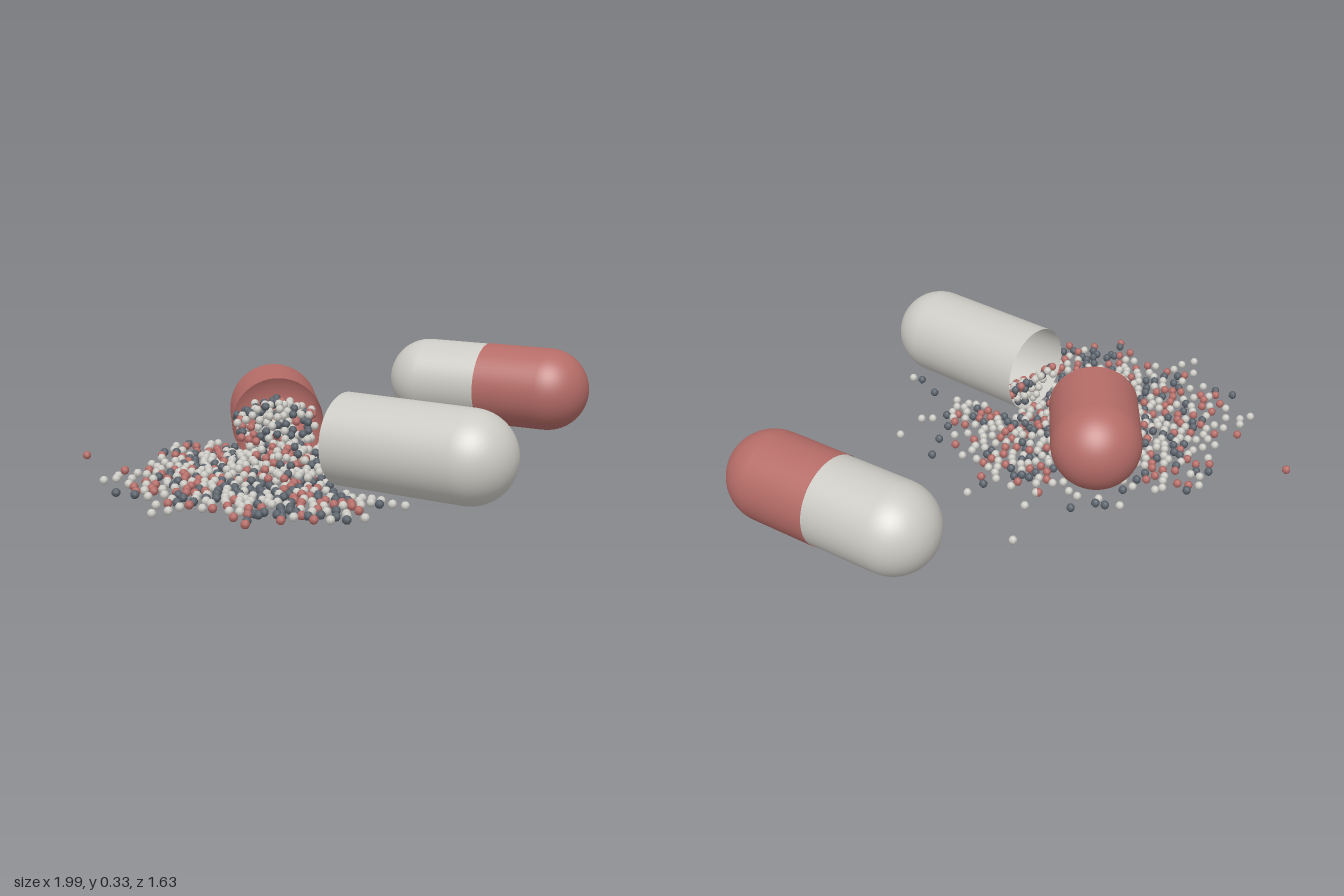
import * as THREE from 'three';
import { mergeGeometries } from 'three/addons/utils/BufferGeometryUtils.js';

const RED = 0xb56c67, GREY = 0xcccac4, DARK = 0x59616a;
const AXIS_Y = 0.168;   // height of every capsule's axis
const BEAD = 0.0155;    // bead radius
const FLOOR = 0.02;     // bead centre height on the ground

// Half shells: dome centre and open rim centre in plan (x, z)
const CAP = { dome: [-0.285, -0.235], rim: [-0.315, 0.025], radius: 0.163 };
const BODY = { dome: [0.207, 0.652], rim: [-0.135, 0.31], radius: 0.161 };
const CLOSED_CAP = { dome: [0.835, -0.325], rim: [0.637, -0.493], radius: 0.163 };
const CLOSED_BODY = { dome: [0.442, -0.658], rim: [0.8, -0.354], radius: 0.161 };

function random(seed) {
  return () => {
    seed = (seed * 1664525 + 1013904223) % 4294967296;
    return seed / 4294967296;
  };
}

function axisOf({ dome, rim }) {
  const axis = new THREE.Vector3(rim[0] - dome[0], 0, rim[1] - dome[1]);
  const length = axis.length();
  return { axis: axis.normalize(), length };
}

// Open tube with one domed end
function halfShell(name, shell, color) {
  const { axis, length } = axisOf(shell);
  const profile = [];
  for (let i = 0; i <= 14; i++) {
    const a = (i / 14) * Math.PI / 2;
    profile.push(new THREE.Vector2(Math.sin(a) * shell.radius, -Math.cos(a) * shell.radius));
  }
  profile.push(new THREE.Vector2(shell.radius, length));
  const mesh = new THREE.Mesh(
    new THREE.LatheGeometry(profile, 56),
    new THREE.MeshStandardMaterial({ color, side: THREE.DoubleSide })
  );
  mesh.name = name;
  mesh.position.set(shell.dome[0], AXIS_Y, shell.dome[1]);
  mesh.quaternion.setFromUnitVectors(new THREE.Vector3(0, 1, 0), axis);
  return mesh;
}

// Distance along the axis (s) and sideways from it (u) in plan
function localPoint(shell, x, z) {
  const { axis, length } = axisOf(shell);
  const dx = x - shell.dome[0], dz = z - shell.dome[1];
  return { s: dx * axis.x + dz * axis.z, u: dx * axis.z - dz * axis.x, length };
}

// Drop beads one by one, letting them stack below a height limit
function pileBeads(rand) {
  const beads = [];
  const spacing = BEAD * 1.85;
  for (let t = 0; t < 42000 && beads.length < 2000; t++) {
    const x = -0.95 + rand() * 1.3, z = -0.5 + rand() * 1.3;
    const spread = Math.hypot(x + 0.3, z - 0.17);
    if (rand() > Math.exp(-(spread - 0.37) / 0.04)) continue;

    const peak = Math.hypot(x + 0.3, z - 0.07);
    let limit = FLOOR + 0.08 * Math.max(0, 1 - peak / 0.31);
    let y = FLOOR;
    for (const shell of [CAP, BODY]) {
      const { s, u, length } = localPoint(shell, x, z);
      const inner = shell.radius - BEAD - 0.003;
      if (s < 0 || s > length || Math.abs(u) > inner) continue;
      const depth = length - s;
      y = Math.max(FLOOR, AXIS_Y - Math.sqrt(inner * inner - u * u));
      limit = shell === CAP
        ? Math.min(0.215, 0.11 + 0.9 * depth) - Math.abs(u) * 0.4
        : 0.13 - 0.7 * depth;
    }
    for (const b of beads) {
      const gap = Math.hypot(b.x - x, b.z - z);
      if (gap < spacing) y = Math.max(y, b.y + Math.sqrt(spacing * spacing - gap * gap));
    }
    if (y > limit + 0.004) continue;

    // Keep beads from cutting through the shell walls
    const hitsWall = [CAP, BODY].some((shell) => {
      const { s, u, length } = localPoint(shell, x, z);
      if (s > length) return false;
      const d = Math.hypot(u, y - AXIS_Y, Math.min(s, 0));
      return Math.abs(d - shell.radius) < BEAD;
    });
    if (!hitsWall) beads.push(new THREE.Vector3(x, y, z));
  }
  return beads;
}

export function createModel() {
  const model = new THREE.Group();

  // Closed capsule
  const closed = new THREE.Group();
  closed.name = 'closedCapsule';
  closed.add(
    halfShell('closedCapsuleBody', CLOSED_BODY, GREY),
    halfShell('closedCapsuleCap', CLOSED_CAP, RED)
  );

  // Opened capsule
  const opened = new THREE.Group();
  opened.name = 'openedCapsule';
  opened.add(halfShell('openBody', BODY, GREY), halfShell('openCap', CAP, RED));
  model.add(closed, opened);

  // Spilled beads: the pile and the few that rolled away
  const rand = random(17);
  const beads = pileBeads(rand);
  const strays = [
    [-0.98, -0.25], [0.045, -0.57], [0.175, -0.275], [0.285, -0.02], [0.395, 0.13],
    [0.31, 0.235], [0.25, 0.425], [-0.065, -0.3], [-0.34, 0.7], [-0.28, 0.76],
    [-0.23, 0.77], [-0.22, 0.73], [-0.57, 0.66], [-0.5, 0.64], [-0.91, 0.285],
    [-0.86, 0], [-0.94, 0.12], [-0.81, 0.36],
  ];
  for (const [x, z] of strays) beads.push(new THREE.Vector3(x, FLOOR, z));
  beads.push(new THREE.Vector3(-0.28, BEAD, -0.24));

  const sphere = new THREE.SphereGeometry(BEAD, 8, 5);
  const kinds = [
    { name: 'greyBeads', color: GREY, parts: [] },
    { name: 'darkBeads', color: DARK, parts: [] },
    { name: 'redBeads', color: RED, parts: [] },
  ];
  for (const p of beads) {
    const pick = rand();
    const kind = kinds[pick < 0.5 ? 0 : pick < 0.78 ? 1 : 2];
    kind.parts.push(sphere.clone().translate(p.x, p.y, p.z));
  }
  const spill = new THREE.Group();
  spill.name = 'spilledBeads';
  for (const { name, color, parts } of kinds) {
    const mesh = new THREE.Mesh(mergeGeometries(parts), new THREE.MeshStandardMaterial({ color }));
    mesh.name = name;
    spill.add(mesh);
  }
  model.add(spill);
  return model;
}
